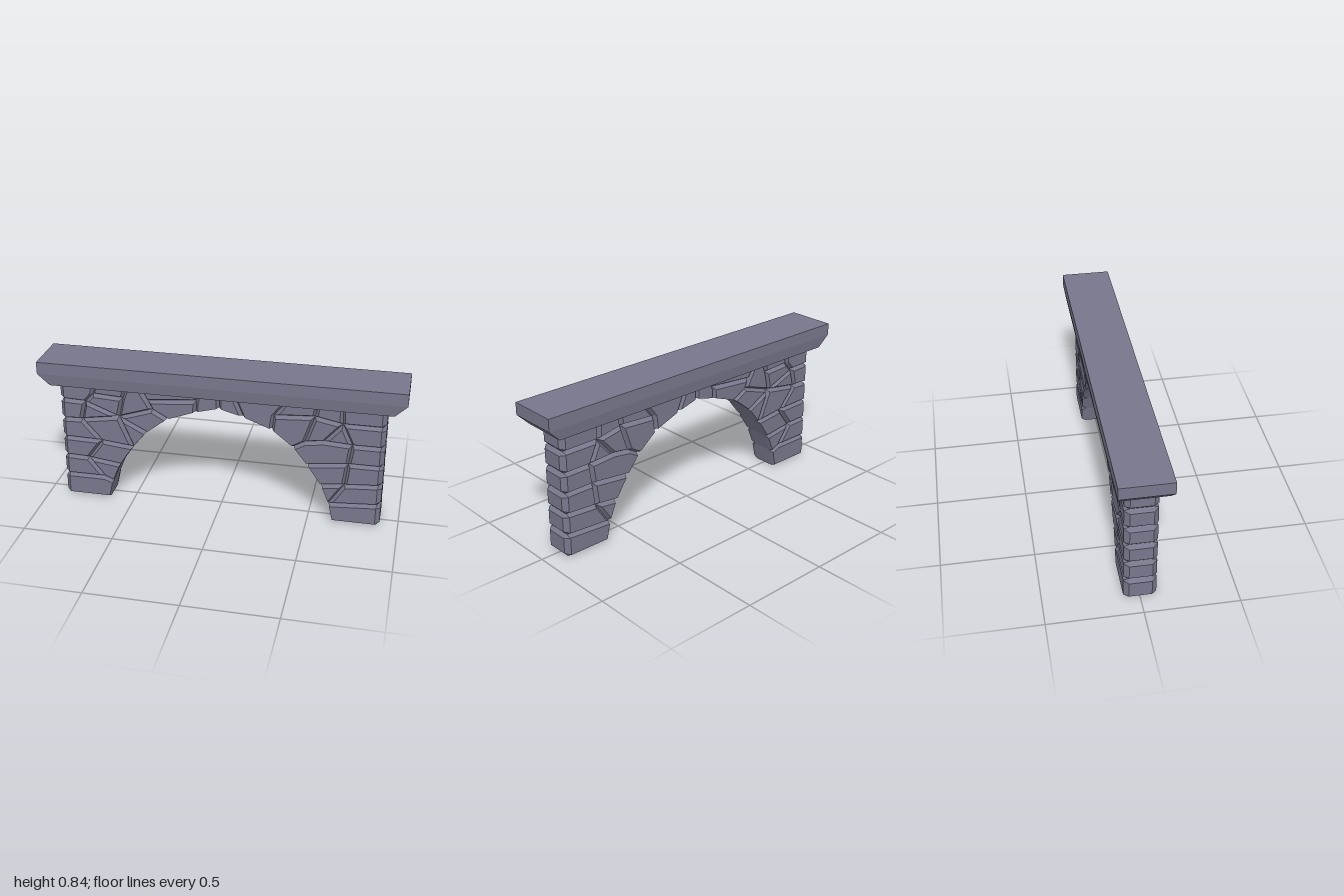
import * as THREE from 'three';

const material = new THREE.MeshStandardMaterial({ color: 0x77778c, flatShading: true });

const FACE_Z = 0.086;   // front of a stone
const GROOVE_Z = 0.06;  // bottom of the joints between stones

// Joint corners as [distance from the centre line, height].
// e = outer end of the wall, a = underside of the arch.
const shared = {
  e0: [0.9, 0], e1: [0.9, 0.13], e2: [0.9, 0.25], e3: [0.9, 0.365], e4: [0.9, 0.48], e5: [0.9, 0.6], e6: [0.9, 0.702],
  a0: [0.64, 0], a1: [0.615, 0.11], a2: [0.57, 0.22], a3: [0.49, 0.34], a4: [0.41, 0.44],
  a5: [0.29, 0.535], a6: [0.13, 0.595], a7: [0, 0.63], m5: [0, 0.702],
};

// The two halves of the wall have different joints
const halves = [
  {
    name: 'rightStone', sign: -1,
    points: {
      p: [0.665, 0.13], q: [0.755, 0.245], r: [0.67, 0.36], s: [0.78, 0.485], t: [0.755, 0.595],
      u: [0.71, 0.645], v: [0.54, 0.635], w: [0.565, 0.52], x: [0.375, 0.583], n1: [0.4, 0.635],
      n2: [0.125, 0.66], m1: [0.7, 0.702], m2: [0.515, 0.702], m3: [0.44, 0.702], m4: [0.11, 0.702],
    },
    stones: [
      'e0 a0 a1 p e1', 'e1 p q e2', 'p a1 a2 q', 'e2 q r e3', 'q a2 a3 r', 'e3 r s e4',
      'r a3 w s', 'e4 s t e5', 's w t', 'e5 t u m1 e6', 'u v m2 m1', 't w v u',
      'v w x n1 m3 m2', 'w a3 a4', 'w a4 a5 x', 'x a5 a6 n2 n1', 'n1 n2 m4 m3', 'a6 a7 m5 m4 n2',
    ],
  },
  {
    name: 'leftStone', sign: 1,
    points: {
      q: [0.695, 0.235], r: [0.71, 0.365], s: [0.725, 0.48], t: [0.67, 0.6], k: [0.575, 0.49],
      w: [0.47, 0.475], v: [0.52, 0.63], n: [0.3, 0.615],
      m1: [0.665, 0.702], m2: [0.535, 0.702], m3: [0.365, 0.702], m4: [0.085, 0.702],
    },
    stones: [
      'e0 a0 a1 e1', 'e1 a1 q e2', 'a1 a2 q', 'e2 q r e3', 'q a2 a3 r', 'e3 r s e4',
      'r a3 a4 w k s', 'e4 s t e5', 's k t', 'k w v t', 'e5 t m1 e6', 't v m2 m1',
      'v n m3 m2', 'v w a4 a5 n', 'n a5 a6 m4 m3', 'a6 a7 m5 m4',
    ],
  },
];

// Bevel width of the edge between two named corners
function bevelWidth(a, b) {
  if (a[0] === 'a' && b[0] === 'a') return 0.003;
  if (a[0] === 'e' && b[0] === 'e' && a !== b) return 0.025;
  return 0.014;
}

// Corners of one stone, counter-clockwise, with the outer end corners cut off
function outline(names, points, sign) {
  let corners = names.map((key) => ({ key, p: new THREE.Vector2(points[key][0] * sign, points[key][1]) }));
  if (THREE.ShapeUtils.isClockWise(corners.map((c) => c.p))) corners.reverse();
  const n = corners.length;
  return corners.flatMap((c, i) => {
    if (c.key[0] !== 'e') return [c];
    return [corners[(i + n - 1) % n], corners[(i + 1) % n]].map((o) => ({
      key: c.key, p: c.p.clone().add(o.p.clone().sub(c.p).setLength(0.02)),
    }));
  });
}

// Move every edge inwards by its own bevel width and intersect neighbours
function insetOutline(corners) {
  const n = corners.length;
  const lines = corners.map((c, i) => {
    const next = corners[(i + 1) % n];
    const dir = next.p.clone().sub(c.p).normalize();
    const normal = new THREE.Vector2(-dir.y, dir.x);
    return { normal, d: normal.dot(c.p) + bevelWidth(c.key, next.key) };
  });
  return corners.map((c, i) => {
    const A = lines[(i + n - 1) % n], B = lines[i];
    const det = A.normal.cross(B.normal);
    if (Math.abs(det) < 0.05) return c.p.clone().addScaledVector(B.normal, B.d - B.normal.dot(c.p));
    return new THREE.Vector2(
      (A.d * B.normal.y - B.d * A.normal.y) / det,
      (A.normal.x * B.d - B.normal.x * A.d) / det,
    );
  });
}

// A stone runs through the wall and is bevelled on both faces
function stoneGeometry(corners) {
  const full = corners.map((c) => c.p);
  const inset = insetOutline(corners);
  const rings = [[inset, -FACE_Z], [full, -GROOVE_Z], [full, GROOVE_Z], [inset, FACE_Z]]
    .map(([pts, z]) => pts.map((p) => [p.x, p.y, z]));
  const pos = [];
  const tri = (...v) => v.forEach((p) => pos.push(...p));
  for (let r = 0; r < 3; r++) {
    const lo = rings[r], hi = rings[r + 1];
    lo.forEach((p, i) => {
      const j = (i + 1) % lo.length;
      tri(p, lo[j], hi[j]);
      tri(p, hi[j], hi[i]);
    });
  }
  for (const [a, b, c] of THREE.ShapeUtils.triangulateShape(inset, [])) {
    tri(rings[3][a], rings[3][b], rings[3][c]);
    tri(rings[0][a], rings[0][c], rings[0][b]);
  }
  const geometry = new THREE.BufferGeometry();
  geometry.setAttribute('position', new THREE.Float32BufferAttribute(pos, 3));
  geometry.computeVertexNormals();
  return geometry;
}

function addMesh(parent, name, geometry) {
  const mesh = new THREE.Mesh(geometry, material);
  mesh.name = name;
  parent.add(mesh);
  return mesh;
}

export function createModel() {
  const model = new THREE.Group();
  model.name = 'stoneArch';

  // Wall of irregular stones around the arch
  const wall = new THREE.Group();
  wall.name = 'stoneWall';
  model.add(wall);
  for (const { name, sign, points, stones } of halves) {
    const all = { ...shared, ...points };
    stones.forEach((stone, i) => {
      addMesh(wall, `${name}${i + 1}`, stoneGeometry(outline(stone.split(' '), all, sign)));
    });
  }

  // Coping slab: straight upper band, lower band tapering down to the wall
  const slab = new THREE.BoxGeometry(2, 0.068, 0.274);
  addMesh(model, 'copingSlab', slab).position.y = 0.802;

  const taper = new THREE.BoxGeometry(2, 0.066, 0.274);
  const pos = taper.attributes.position;
  for (let i = 0; i < pos.count; i++) {
    if (pos.getY(i) < 0) pos.setXYZ(i, pos.getX(i) * 0.935, pos.getY(i), pos.getZ(i) * 0.93);
  }
  taper.computeVertexNormals();
  addMesh(model, 'copingTaper', taper).position.y = 0.735;

  return model;
}
